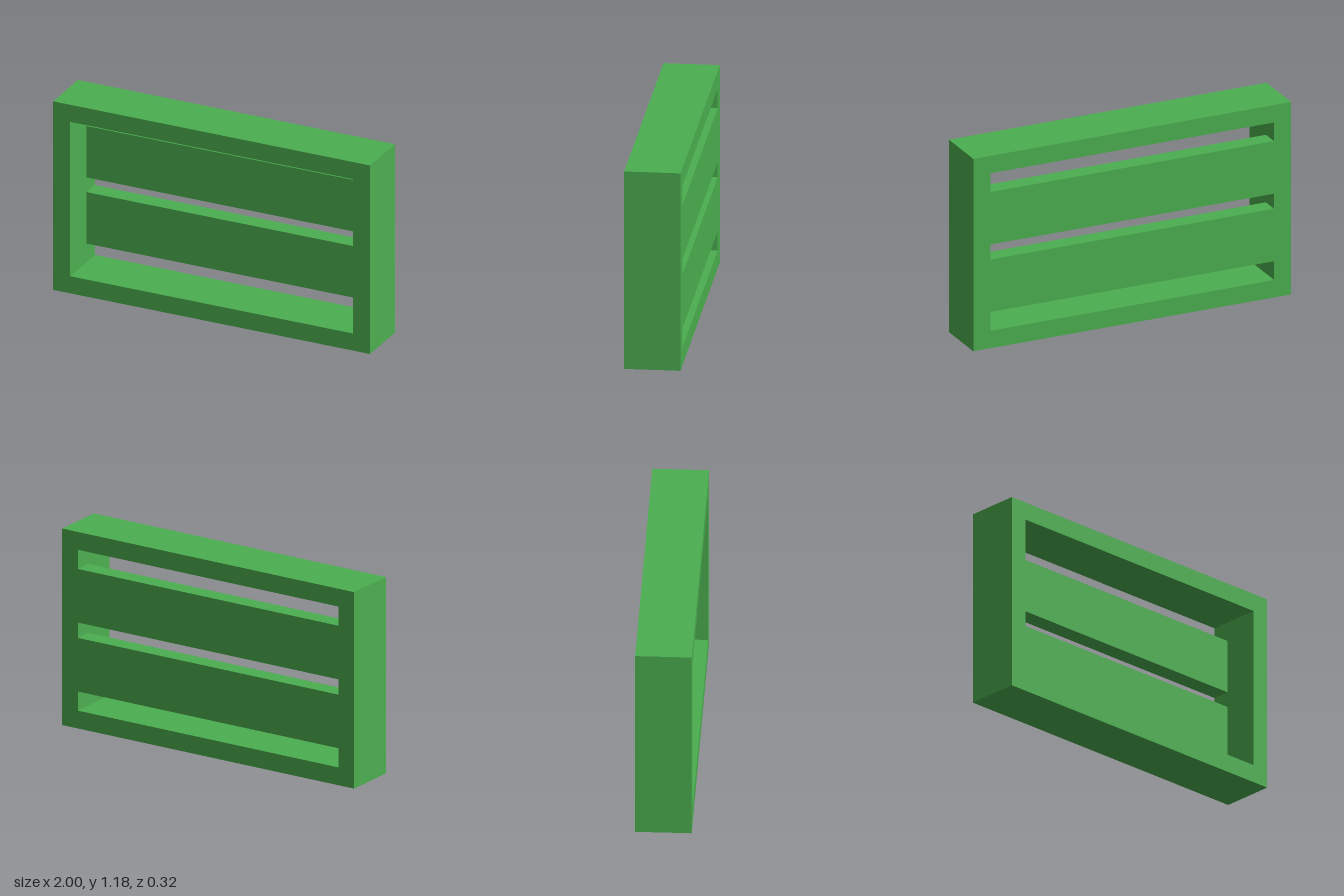
import * as THREE from 'three';

const WIDTH = 2, HEIGHT = 1.18, DEPTH = 0.322, BOARD = 0.107;

// Closed rectangle outline, usable as a shape or a hole
function rectangle(PathType, x, y0, y1) {
  const p = new PathType();
  p.moveTo(-x, y0);
  p.lineTo(x, y0);
  p.lineTo(x, y1);
  p.lineTo(-x, y1);
  p.closePath();
  return p;
}

export function createModel() {
  const model = new THREE.Group();
  model.name = 'slattedCrate';
  const material = new THREE.MeshStandardMaterial({ color: 0x4caf50 });

  // Outer frame: one board thick all round, open front and back
  const outline = rectangle(THREE.Shape, WIDTH / 2, 0, HEIGHT);
  outline.holes.push(rectangle(THREE.Path, WIDTH / 2 - BOARD, BOARD, HEIGHT - BOARD));
  const frameGeometry = new THREE.ExtrudeGeometry(outline, { depth: DEPTH, bevelEnabled: false });
  frameGeometry.translate(0, 0, -DEPTH / 2);
  const frame = new THREE.Mesh(frameGeometry, material);
  frame.name = 'frame';
  model.add(frame);

  // Two wide slats, flush with the back of the frame
  const slatGeometry = new THREE.BoxGeometry(WIDTH - 2 * BOARD, 0.322, BOARD);
  [['lowerSlat', -1], ['upperSlat', 1]].forEach(([name, side]) => {
    const slat = new THREE.Mesh(slatGeometry, material);
    slat.name = name;
    slat.position.set(0, HEIGHT / 2 + side * 0.207, (BOARD - DEPTH) / 2);
    model.add(slat);
  });

  return model;
}
